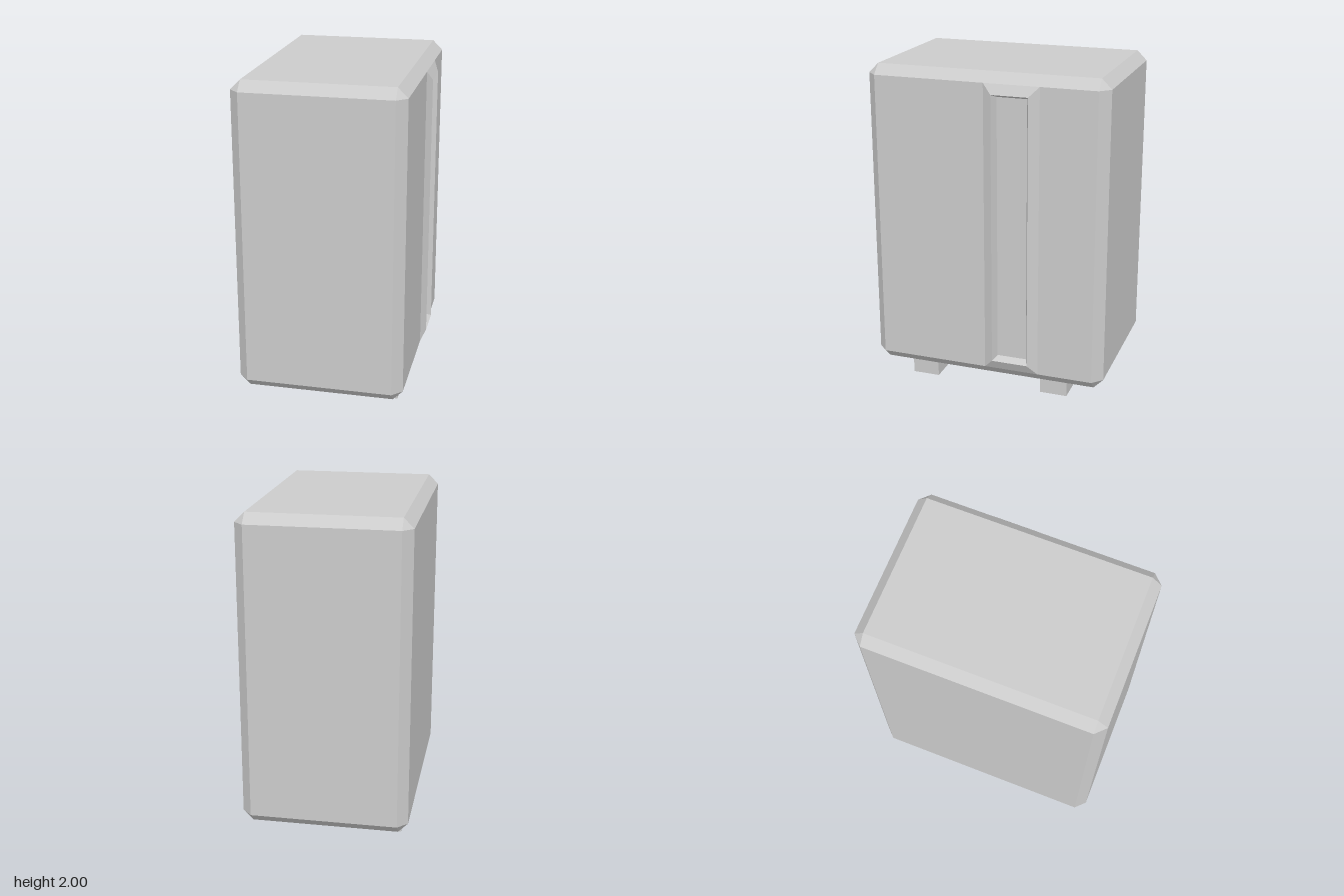
import * as THREE from 'three';
import { ConvexGeometry } from 'three/addons/geometries/ConvexGeometry.js';

const material = new THREE.MeshStandardMaterial({ color: 0xcccccc, flatShading: true });

function addMesh(group, name, geometry) {
  const mesh = new THREE.Mesh(geometry, material);
  mesh.name = name;
  group.add(mesh);
  return mesh;
}

function fromPositions(positions) {
  const g = new THREE.BufferGeometry();
  g.setAttribute('position', new THREE.Float32BufferAttribute(positions, 3));
  g.computeVertexNormals();
  return g;
}

// Rectangle facing +x, corners counter-clockwise as seen from +x
const rect = (x, y0, y1, z0, z1) => [[x, y0, z1], [x, y0, z0], [x, y1, z0], [x, y1, z1]];

const quad = (a, b, c, d) => [a, b, c, a, c, d].flat();

// Body box with chamfered edges, left open on its +x face
function chamferedShell(min, max, c) {
  const points = [];
  for (let axis = 0; axis < 3; axis++) {
    for (let corner = 0; corner < 8; corner++) {
      const p = [0, 1, 2].map((i) => {
        const inset = i === axis ? 0 : c;
        return corner & (1 << i) ? max[i] - inset : min[i] + inset;
      });
      points.push(new THREE.Vector3(...p));
    }
  }
  const hull = new ConvexGeometry(points).getAttribute('position');
  const kept = [];
  for (let i = 0; i < hull.count; i += 3) {
    const tri = [i, i + 1, i + 2];
    if (tri.every((k) => hull.getX(k) > max[0] - 1e-4)) continue;
    tri.forEach((k) => kept.push(hull.getX(k), hull.getY(k), hull.getZ(k)));
  }
  return fromPositions(kept);
}

export function createModel() {
  const group = new THREE.Group();
  group.name = 'cabinet';

  addMesh(group, 'body', chamferedShell([-0.52, 0.09, -0.74], [0.49, 2, 0.74], 0.06));

  // Flat side panels on either side of the handle
  addMesh(group, 'sidePanels', fromPositions([
    ...quad(...rect(0.49, 0.15, 1.94, 0, 0.68)),
    ...quad(...rect(0.49, 0.15, 1.94, -0.68, -0.34)),
  ]));

  // Handle: sloped surround rising from the side, then a recess sunk into it
  const rings = [
    rect(0.49, 0.15, 1.94, -0.34, 0),
    rect(0.52, 0.21, 1.88, -0.28, -0.056),
    rect(0.47, 0.23, 1.86, -0.26, -0.076),
  ];
  const handle = [];
  for (let r = 0; r < rings.length - 1; r++) {
    const [a, b] = [rings[r], rings[r + 1]];
    for (let i = 0; i < 4; i++) {
      const j = (i + 1) % 4;
      handle.push(...quad(a[i], a[j], b[j], b[i]));
    }
  }
  handle.push(...quad(...rings[2]));
  addMesh(group, 'recessedHandle', fromPositions(handle));

  // Two bars as feet
  for (const [name, side] of [['frontFoot', 1], ['backFoot', -1]]) {
    const foot = addMesh(group, name, new THREE.BoxGeometry(0.89, 0.09, 0.17));
    foot.position.set(-0.015, 0.045, side * 0.425);
  }
  return group;
}
